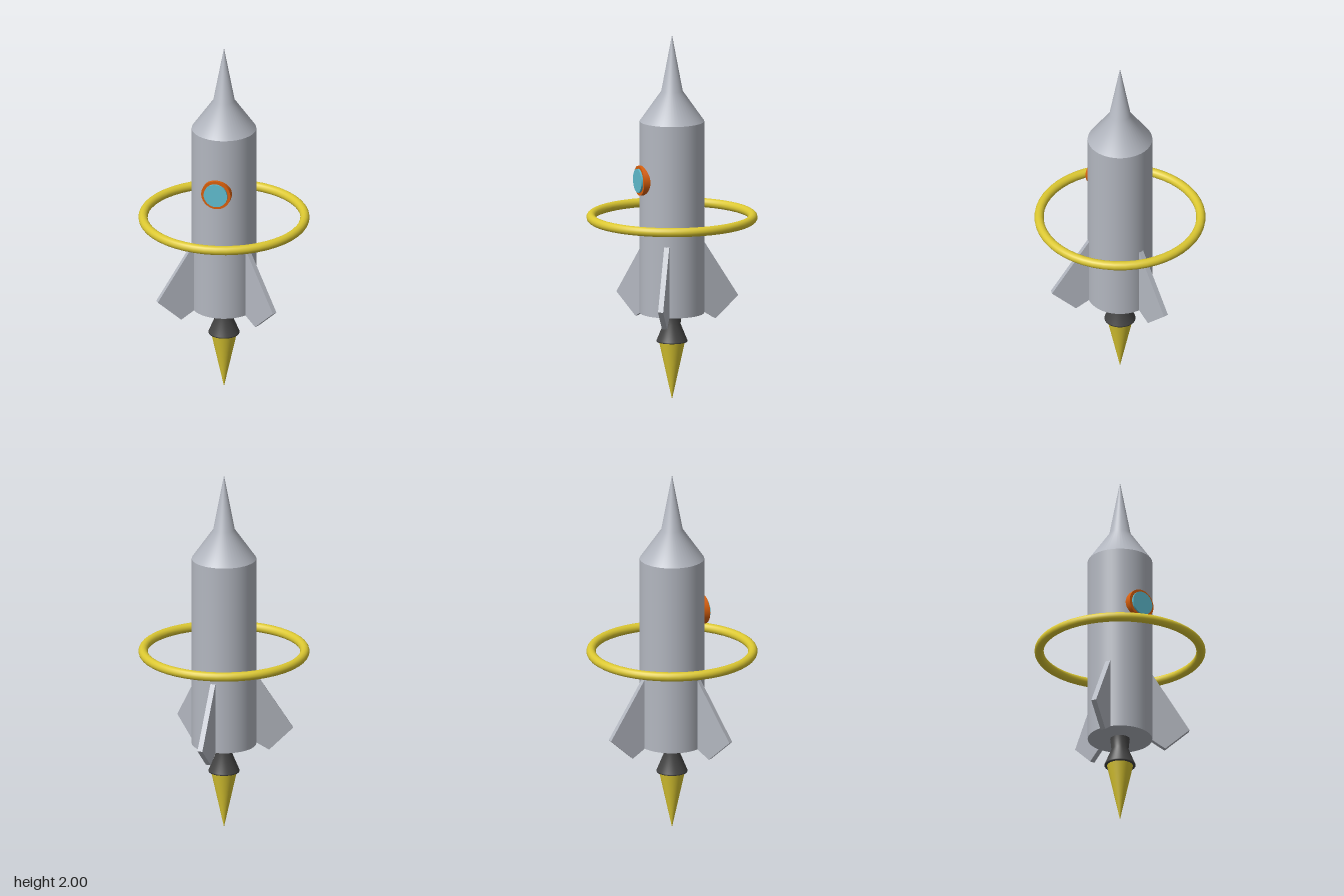
import * as THREE from 'three';

const mat = (name, color, side = THREE.FrontSide) => {
  const m = new THREE.MeshStandardMaterial({ color, side });
  m.name = name;
  return m;
};

export function createModel() {
  const rocket = new THREE.Group();
  rocket.name = 'rocket';

  const grey = mat('hullGrey', 0xb3b7c0);
  const yellow = mat('yellow', 0xdcc832);
  const orange = mat('orange', 0xd9600c);
  const blue = mat('glassBlue', 0x5fbccf);
  const dark = mat('nozzleDark', 0x454545, THREE.DoubleSide);

  const add = (name, geometry, material, y = 0, z = 0) => {
    const mesh = new THREE.Mesh(geometry, material);
    mesh.name = name;
    mesh.position.set(0, y, z);
    rocket.add(mesh);
    return mesh;
  };
  const lathe = (points, segments = 48) =>
    new THREE.LatheGeometry(points.map(([r, y]) => new THREE.Vector2(r, y)), segments);

  // Hull and stepped nose
  add('hull', new THREE.CylinderGeometry(0.174, 0.174, 1.05, 48), grey, 1.002);
  add('nose', lathe([[0.174, 1.527], [0.058, 1.692], [0, 2]]), grey);

  // Engine bell with a short lip and closed underside
  add('nozzle', lathe([[0.07, 0.318], [0.083, 0.318], [0.083, 0.325], [0.046, 0.415], [0.053, 0.48]]), dark);
  add('nozzleBase', new THREE.CircleGeometry(0.083, 48).rotateX(Math.PI / 2), dark, 0.318);

  // Exhaust flame
  add('flame', new THREE.ConeGeometry(0.07, 0.318, 48).rotateX(Math.PI), yellow, 0.159);

  // Ring floating around the hull
  add('ring', new THREE.TorusGeometry(0.436, 0.025, 16, 48).rotateX(Math.PI / 2), yellow, 1.0);

  // Porthole
  add('portholeFrame', new THREE.CylinderGeometry(0.081, 0.081, 0.04, 40).rotateX(Math.PI / 2), orange, 1.212, 0.17);
  add('portholeGlass', new THREE.CylinderGeometry(0.065, 0.065, 0.02, 40).rotateX(Math.PI / 2), blue, 1.212, 0.19);

  // Three swept fins: one at the back, two towards the front sides
  const profile = new THREE.Shape(
    [[0.15, 0.9], [0.15, 0.485], [0.174, 0.475], [0.244, 0.43], [0.376, 0.548], [0.174, 0.865]]
      .map(([r, y]) => new THREE.Vector2(r, y)));
  const finGeometry = new THREE.ExtrudeGeometry(profile, { depth: 0.028, bevelEnabled: false });
  finGeometry.translate(0, 0, -0.014);
  for (let i = 0; i < 3; i++) {
    add('fin' + (i + 1), finGeometry, grey).rotation.y = Math.PI / 2 + (i * Math.PI * 2) / 3;
  }

  return rocket;
}
